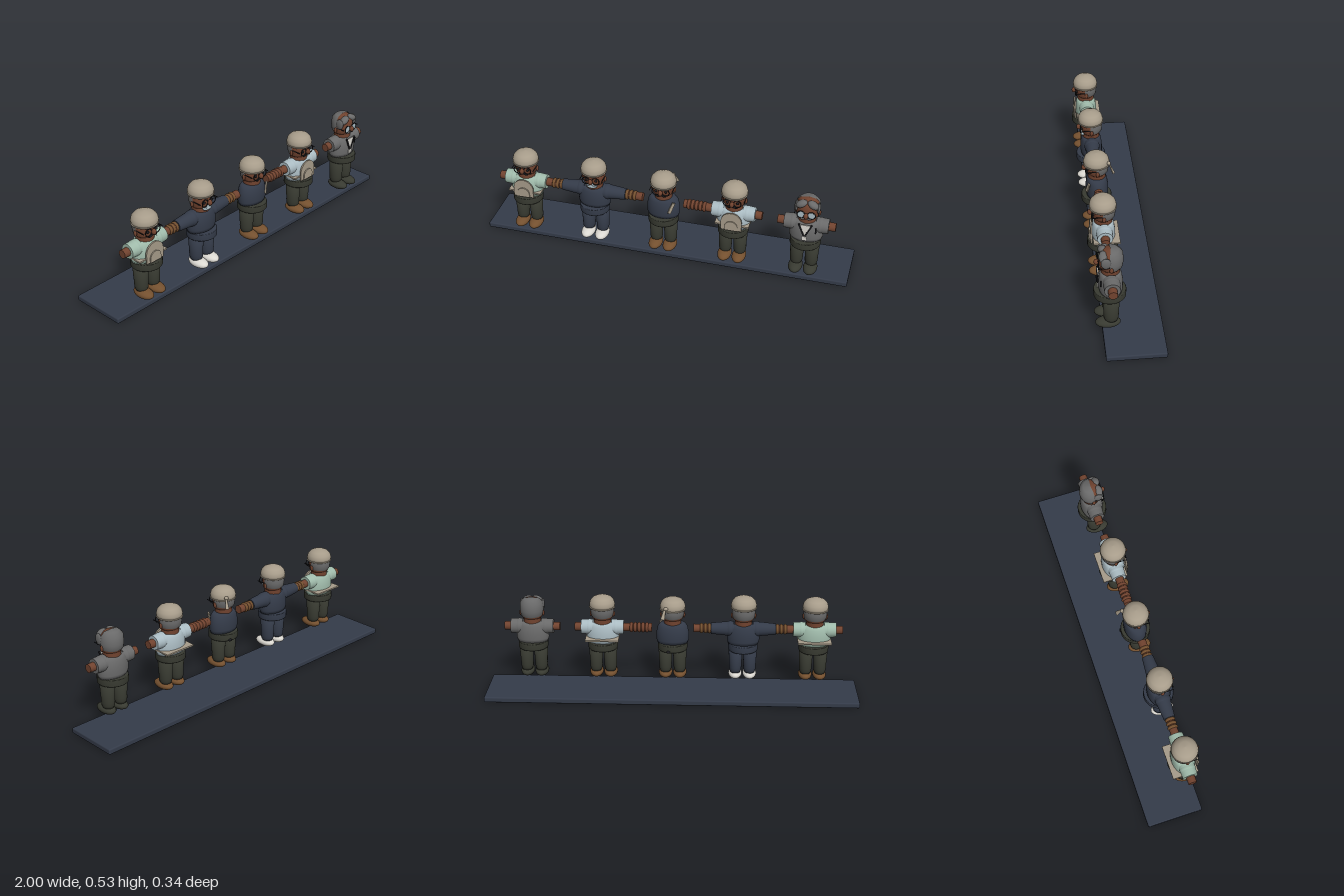
import * as THREE from 'three';
import { RoundedBoxGeometry } from 'three/addons/geometries/RoundedBoxGeometry.js';

const mat = (name, color, side = THREE.FrontSide) => {
  const m = new THREE.MeshStandardMaterial({ color, side });
  m.name = name;
  return m;
};

export function createModel() {
  const beige = mat('beige cloth', 0xa79c8a, THREE.DoubleSide);
  const skin = mat('skin', 0x71432f);
  const navy = mat('navy', 0x343b49);
  const mint = mat('mint cloth', 0xa0bbab);
  const sky = mat('pale blue cloth', 0xabbcc3);
  const grey = mat('grey', 0x6a6a6a, THREE.DoubleSide);
  const olive = mat('dark olive cloth', 0x383a31);
  const white = mat('white', 0xdcd9d2);
  const leather = mat('brown leather', 0x74502f);
  const black = mat('black', 0x1c1c1f);

  const root = new THREE.Group();
  root.name = 'figureRow';

  const add = (parent, name, geo, m, p = [0, 0, 0], s = [1, 1, 1], r = [0, 0, 0]) => {
    const mesh = new THREE.Mesh(geo, m);
    mesh.name = name;
    mesh.position.set(...p);
    mesh.scale.set(...s);
    mesh.rotation.set(...r);
    parent.add(mesh);
    return mesh;
  };
  const lathe = (pts) => new THREE.LatheGeometry(pts.map(([x, y]) => new THREE.Vector2(x, y)), 32);
  const ball = new THREE.SphereGeometry(1, 24, 16);
  const box = new THREE.BoxGeometry(1, 1, 1);

  // Shared shapes
  const legGeo = lathe([[0, 0.09], [0.03, 0.09], [0.036, 0.105], [0.038, 0.125], [0.037, 0.128], [0.042, 0.217], [0, 0.217]]);
  const hipGeo = lathe([[0, 0.222], [0.077, 0.222], [0.08, 0.226], [0.08, 0.258], [0.077, 0.262], [0, 0.262]]);
  const torsoGeo = lathe([[0, 0.26], [0.082, 0.26], [0.088, 0.28], [0.088, 0.32], [0.08, 0.355], [0.066, 0.372], [0, 0.378]]);
  const headGeo = lathe([[0, 0.39], [0.045, 0.392], [0.057, 0.405], [0.06, 0.44], [0.056, 0.48], [0.035, 0.5], [0, 0.504]]);
  const hatGeo = lathe([[0.056, 0.455], [0.066, 0.464], [0.069, 0.478], [0.064, 0.497], [0.05, 0.514], [0.028, 0.524], [0, 0.527]]);
  // Hair wraps the back half of the head, open towards the face
  const hairGeo = new THREE.LatheGeometry(
    [[0.05, 0.403], [0.059, 0.412], [0.063, 0.44], [0.06, 0.482], [0.04, 0.503], [0, 0.508]].map(([x, y]) => new THREE.Vector2(x, y)),
    24, Math.PI / 2 - 0.1, Math.PI + 0.2);
  const ring = new THREE.TorusGeometry(0.02, 0.0025, 8, 24);
  const bead = new THREE.TorusGeometry(0.019, 0.009, 10, 20);

  const arch = (w, h) => {
    const s = new THREE.Shape();
    s.moveTo(-w, 0);
    s.lineTo(w, 0);
    s.lineTo(w, h - w);
    s.absarc(0, h - w, w, 0, Math.PI, false);
    s.lineTo(-w, 0);
    return new THREE.ExtrudeGeometry(s, { depth: 0.008, bevelEnabled: false, curveSegments: 20 });
  };
  const bibGeo = arch(0.055, 0.105);
  const pocketGeo = arch(0.034, 0.055);

  // Tapered sleeve or hand lying along x
  const limb = (g, name, side, from, to, r0, r1, m) =>
    add(g, name, new THREE.CylinderGeometry(r1, r0, to - from, 24), m,
      [side * (from + to) / 2, 0.342, 0], [1, 1, 1], [0, 0, -side * Math.PI / 2]);

  const figure = (name, x, o) => {
    const g = new THREE.Group();
    g.name = name;
    g.position.set(x, 0, 0.087);
    root.add(g);
    for (const s of [-1, 1]) {
      add(g, 'shoe', ball, o.shoes, [s * 0.039, 0.075, 0.016], [0.037, 0.025, 0.063]);
      add(g, 'leg', legGeo, o.trousers, [s * 0.039, 0, 0], [0.9, 1, 1]);
      add(g, 'ear', ball, skin, [s * 0.061, 0.42, 0], [0.007, 0.017, 0.009]);
      if (o.sleeve) {
        limb(g, 'sleeve', s, 0.05, o.sleeve, 0.042, o.cuff ?? 0.039, o.shirt);
        add(g, 'shoulder', ball, o.shirt, [s * 0.07, 0.342, 0], [0.038, 0.042, 0.042]);
      }
      const long = o.beadSides?.includes(s);
      limb(g, 'hand', s, o.sleeve ? o.sleeve - 0.01 : 0.112, long ? o.reach : 0.15, 0.023, 0.022, skin);
      // Bracelets stacked along the wrist
      if (long) for (let i = 0; i < o.beads; i++) {
        add(g, 'bracelet', bead, o.beadMat, [s * (o.reach - 0.01 - i * 0.021), 0.342, 0], [1, 1, 1], [0, Math.PI / 2, 0]);
      }
    }
    add(g, 'hips', hipGeo, o.trousers, [0, 0, 0.003]);
    add(g, 'torso', torsoGeo, o.shirt, [0, 0, 0], [1, 1, 0.68]);
    add(g, 'neck', new THREE.CylinderGeometry(0.046, 0.046, 0.034, 24), skin, [0, 0.387, 0]);
    add(g, 'head', headGeo, skin, [0, 0, 0], [1, 1, 0.93]);
    add(g, 'hair', hairGeo, grey, [0, 0, 0]);
    add(g, 'nose', ball, skin, [0, 0.43, 0.067], [0.012, 0.016, 0.013]);
    // Eyewear
    for (const s of [-1, 1]) {
      add(g, 'glassesRim', ring, black, [s * 0.027, 0.432, 0.059]);
      add(g, 'glassesArm', box, black, [s * 0.06, 0.435, 0.03], [0.003, 0.004, 0.06]);
      if (o.lens) add(g, 'lens', new THREE.CylinderGeometry(0.019, 0.019, 0.003, 24), o.lens, [s * 0.027, 0.432, 0.058], [1, 1, 1], [Math.PI / 2, 0, 0]);
      else add(g, 'eye', ball, black, [s * 0.027, 0.432, 0.053], [0.007, 0.008, 0.006]);
      add(g, 'moustache', ball, o.beard ?? black, [s * 0.013, 0.408, 0.056], [0.016, 0.006, 0.006], [0, 0, -s * 0.25]);
    }
    if (o.hat) {
      add(g, 'hat', hatGeo, beige, [0, o.hat, 0.002]);
      add(g, 'hatBand', new THREE.TorusGeometry(0.066, 0.004, 8, 32), beige, [0, 0.463 + o.hat, 0.002], [1, 1, 1], [Math.PI / 2, 0, 0]);
    }
    // Bib apron with a flat hem
    if (o.apron) {
      add(g, 'apronBib', bibGeo, beige, [0, 0.268, 0.06]);
      add(g, 'apronPocket', pocketGeo, beige, [0, 0.27, 0.066]);
      add(g, 'apronHem', box, beige, [0, 0.289, -0.012], [0.18, 0.008, 0.136]);
    }
    return g;
  };

  // Base plinth
  add(root, 'base', new RoundedBoxGeometry(2, 0.03, 0.3, 3, 0.007), navy, [0, 0.015, -0.02]);

  figure('mintFigure', -0.763, { shirt: mint, trousers: olive, shoes: leather, sleeve: 0.115, hat: -0.003, apron: true });

  const second = figure('overallFigure', -0.381, {
    shirt: navy, trousers: navy, shoes: white, sleeve: 0.175, cuff: 0.03, hat: 0.002,
    beadSides: [-1, 1], reach: 0.235, beads: 3, beadMat: leather, beard: sky,
  });
  add(second, 'beard', ball, sky, [0, 0.396, 0.047], [0.03, 0.015, 0.014]);

  const third = figure('sashFigure', 0, { shirt: navy, trousers: olive, shoes: leather, hat: -0.01 });
  add(third, 'sash', box, beige, [0.056, 0.335, 0.052], [0.016, 0.065, 0.008], [0, 0.5, -0.4]);
  add(third, 'hatKnot', ball, beige, [0.035, 0.472, -0.06], [0.012, 0.01, 0.01]);
  add(third, 'hatTail', new THREE.CylinderGeometry(0.005, 0.012, 0.06, 12), beige, [0.045, 0.447, -0.073], [1, 1, 0.6], [0.4, 0, 0.2]);
  add(third, 'beltKnot', ball, black, [0.02, 0.228, -0.071], [0.012, 0.008, 0.009]);

  figure('paleBlueFigure', 0.379, {
    shirt: sky, trousers: olive, shoes: leather, sleeve: 0.115, hat: -0.003, apron: true,
    beadSides: [-1], reach: 0.25, beads: 5, beadMat: skin,
  });

  // Bareheaded figure with jacket, shirt front, lapels and pen
  const fifth = figure('jacketFigure', 0.76, { shirt: grey, trousers: olive, shoes: olive, sleeve: 0.115, lens: sky, beard: grey });
  const vee = new THREE.Shape([[-0.026, 0.37], [0, 0.29], [0.026, 0.37]].map(([x, y]) => new THREE.Vector2(x, y)));
  add(fifth, 'shirtFront', new THREE.ExtrudeGeometry(vee, { depth: 0.006, bevelEnabled: false }), white, [0, 0, 0.057]);
  for (const s of [-1, 1]) {
    add(fifth, 'lapel', box, black, [s * 0.018, 0.338, 0.062], [0.008, 0.078, 0.007], [0, 0, -s * 0.4]);
    add(fifth, 'fringe', ball, grey, [s * 0.03, 0.482, 0.036], [0.032, 0.019, 0.022], [0, 0, -s * 0.5]);
    add(fifth, 'sideburn', ball, grey, [s * 0.057, 0.462, 0.025], [0.009, 0.03, 0.025]);
  }
  add(fifth, 'badge', box, white, [0, 0.288, 0.062], [0.022, 0.024, 0.005]);
  add(fifth, 'pen', box, black, [0.054, 0.335, 0.05], [0.007, 0.032, 0.007]);

  return root;
}
